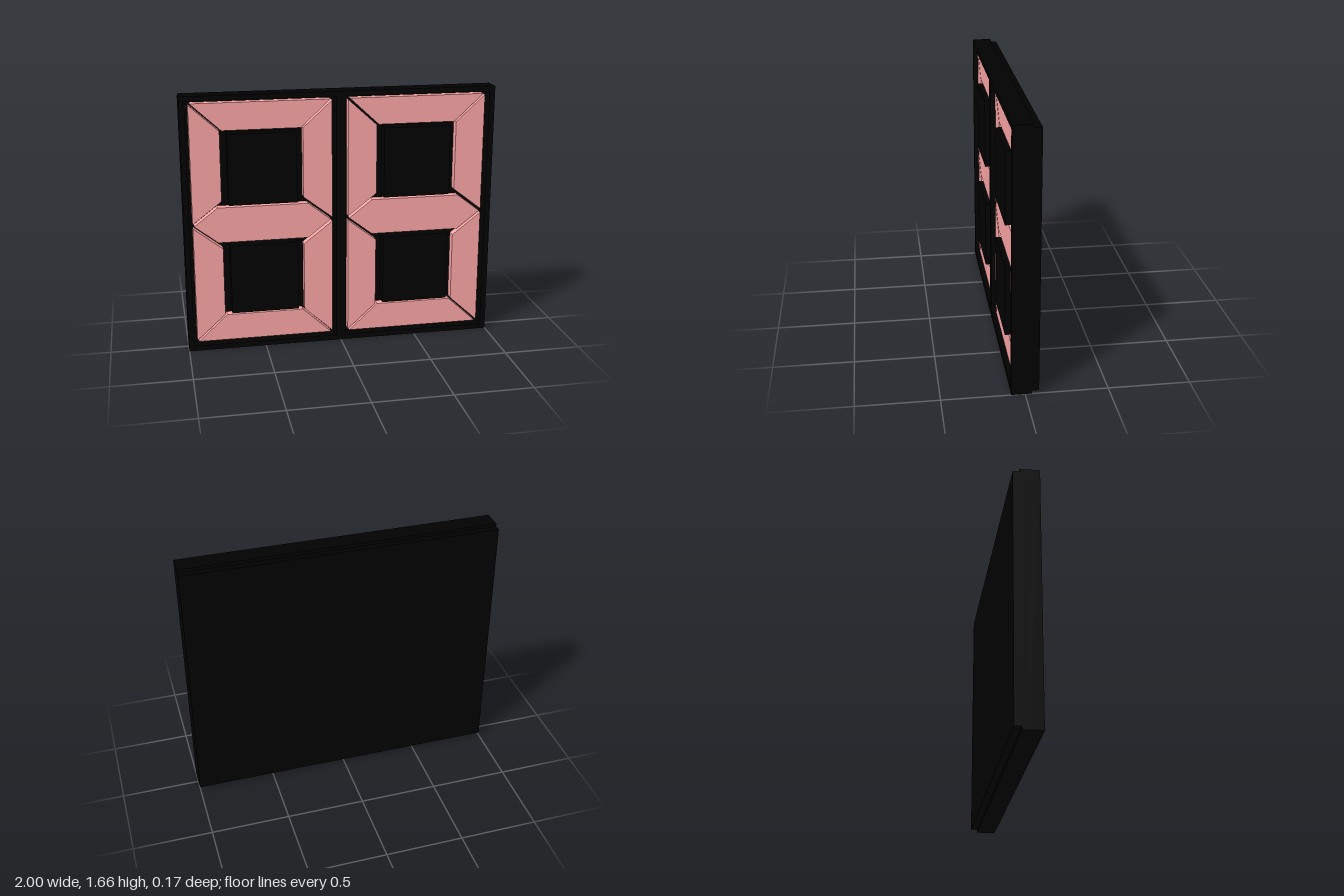
import * as THREE from 'three';

const black = new THREE.MeshStandardMaterial({ color: 0x010101 });
const pink = new THREE.MeshStandardMaterial({ color: 0xfda6a6 });

const W = 2, H = 1.665, MID = H / 2;
const FRONT = 0.083, LENS = 0.055, FLOOR = 0, STEP = -0.04, BACK = -0.083;
const DIGIT_X = 0.4975;

function box(name, w, h, z0, z1, x = 0, y = MID) {
  const mesh = new THREE.Mesh(new THREE.BoxGeometry(w, h, z1 - z0), black);
  mesh.position.set(x, y, (z0 + z1) / 2);
  mesh.name = name;
  return mesh;
}

function rectPoints(x, y, hw, hh) {
  return [[-hw, -hh], [hw, -hh], [hw, hh], [-hw, hh]].map(([a, b]) => new THREE.Vector2(x + a, y + b));
}

// Flat plate from z0 to z1 with optional holes
function plate(name, points, holes, z0, z1, material) {
  const shape = new THREE.Shape(points);
  for (const h of holes) shape.holes.push(new THREE.Path(h));
  const geometry = new THREE.ExtrudeGeometry(shape, { depth: z1 - z0, bevelEnabled: false });
  geometry.translate(0, 0, z0);
  const mesh = new THREE.Mesh(geometry, material);
  mesh.name = name;
  return mesh;
}

// Segment outlines relative to the digit's centre
const horizontal = [[-0.436, 0.782], [0.436, 0.782], [0.248, 0.608], [-0.248, 0.608]];
const vertical = [[-0.446, 0.774], [-0.26, 0.605], [-0.26, 0.157], [-0.446, 0.013]];
const middle = [[-0.437, 0], [-0.288, 0.115], [0.288, 0.115], [0.437, 0], [0.288, -0.115], [-0.288, -0.115]];

function createDigit() {
  const digit = new THREE.Group();
  const add = (name, outline, sx, sy) => {
    const points = outline.map(([x, y]) => new THREE.Vector2(x * sx, y * sy));
    digit.add(plate(name, points, [], FLOOR, LENS, pink));
  };
  add('topSegment', horizontal, 1, 1);
  add('bottomSegment', horizontal, 1, -1);
  add('middleSegment', middle, 1, 1);
  for (const sx of [-1, 1]) {
    const side = sx > 0 ? 'Left' : 'Right';
    add('upper' + side + 'Segment', vertical, -sx, 1);
    add('lower' + side + 'Segment', vertical, -sx, -1);
  }
  // Raised black blocks inside the two openings
  for (const sy of [-1, 1]) {
    digit.add(box(sy > 0 ? 'upperCentreBlock' : 'lowerCentreBlock', 0.434, 0.456, FLOOR, FRONT, 0, sy * 0.3615));
  }
  return digit;
}

export function createModel() {
  const group = new THREE.Group();

  // Housing: main body and the slightly shorter back panel
  group.add(box('housing', W, H, STEP, FLOOR));
  group.add(box('backPanel', W, H - 0.04, BACK, STEP));

  // Raised front frame with one window per digit
  const windows = [-1, 1].map(s => rectPoints(s * DIGIT_X, MID, 0.467, 0.8));
  group.add(plate('frontFrame', rectPoints(0, MID, W / 2, H / 2), windows, FLOOR, FRONT, black));

  // Two seven-segment digits
  for (const s of [-1, 1]) {
    const digit = createDigit();
    digit.name = s > 0 ? 'leftDigit' : 'rightDigit';
    digit.position.set(s * DIGIT_X, MID, 0);
    group.add(digit);
  }
  return group;
}
